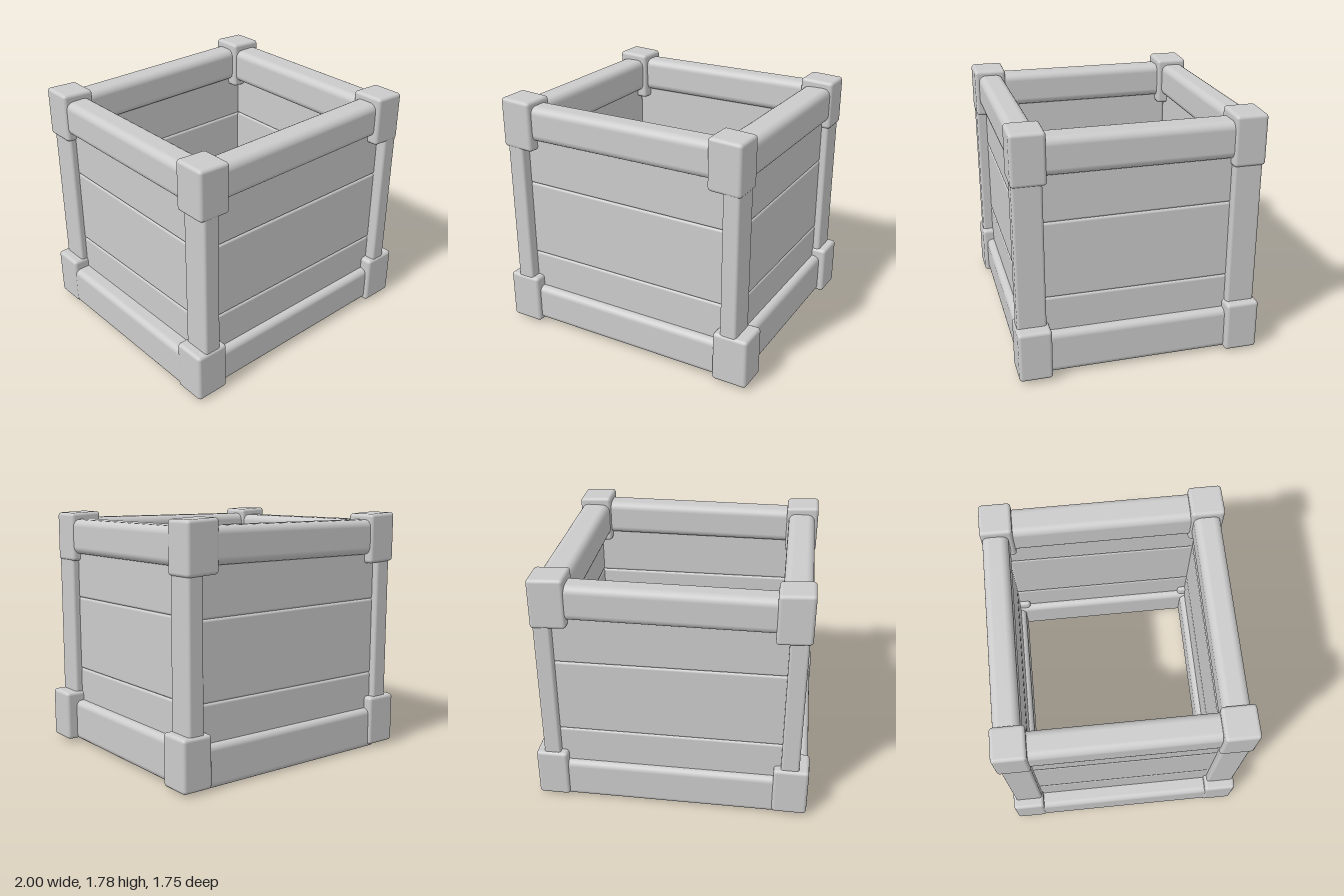
import * as THREE from 'three';
import { RoundedBoxGeometry } from 'three/addons/geometries/RoundedBoxGeometry.js';

const material = new THREE.MeshStandardMaterial({ color: 0xcccccc });

// Rounded box between two corners; warp(v) may bend its vertices a little
function roundedPart(name, [x0, y0, z0], [x1, y1, z1], radius, warp) {
  const g = new RoundedBoxGeometry(x1 - x0, y1 - y0, z1 - z0, 3, radius);
  g.translate((x0 + x1) / 2, (y0 + y1) / 2, (z0 + z1) / 2);
  if (warp) {
    const p = g.attributes.position;
    const v = new THREE.Vector3();
    for (let i = 0; i < p.count; i++) {
      v.fromBufferAttribute(p, i);
      warp(v);
      p.setXYZ(i, v.x, v.y, v.z);
    }
  }
  const mesh = new THREE.Mesh(g, material);
  mesh.name = name;
  return mesh;
}

export function createModel() {
  const crate = new THREE.Group();
  crate.name = 'crate';
  const add = (...args) => crate.add(roundedPart(...args));

  // Corner blocks: [x0, x1, z0, z1]
  const lower = [
    [-1.0, -0.75, 0.64, 0.875], [0.74, 1.0, 0.64, 0.875],
    [-1.0, -0.75, -0.875, -0.64], [0.74, 0.97, -0.875, -0.635],
  ];
  const upper = [
    [-0.96, -0.72, 0.63, 0.87], [0.68, 0.92, 0.63, 0.87],
    [-0.95, -0.71, -0.875, -0.64], [0.675, 0.925, -0.87, -0.64],
  ];
  lower.forEach(([x0, x1, z0, z1]) => add('lowerCornerBlock', [x0, 0.02, z0], [x1, 0.39, z1], 0.025,
    (v) => { v.y += 0.01 * (v.z < 0 ? -1 : 1) * (v.x > 0 ? 0.4 : -0.4); }));
  upper.forEach(([x0, x1, z0, z1]) => add('upperCornerBlock', [x0, 1.415, z0], [x1, 1.775, z1], 0.025,
    (v) => { v.y += 0.05 * (Math.abs(v.x) - 0.82) * (v.x < 0 ? 1 : -1); }));

  // Corner posts
  for (const [x0, x1] of [[-0.93, -0.8], [0.79, 0.912]]) {
    add('frontPost', [x0, 0.25, 0.66], [x1, 1.55, 0.865], 0.02);
    add('backPost', [x0, 0.25, -0.855], [x1, 1.55, -0.65], 0.02);
  }

  // Top rails
  add('topFrontRail', [-0.8, 1.48, 0.65], [0.78, 1.735, 0.84], 0.055);
  add('topBackRail', [-0.8, 1.475, -0.86], [0.78, 1.73, -0.675], 0.055);
  add('topRightRail', [-0.935, 1.47, -0.75], [-0.735, 1.725, 0.75], 0.055);
  add('topLeftRail', [0.69, 1.465, -0.75], [0.91, 1.725, 0.75], 0.055);

  // Bottom rails
  add('bottomFrontRail', [-0.85, 0.03, 0.66], [0.85, 0.305, 0.845], 0.045);
  add('bottomBackRail', [-0.85, 0.0, -0.855], [0.82, 0.305, -0.68], 0.045);
  add('bottomRightRail', [-0.995, 0.015, -0.75], [-0.77, 0.32, 0.75], 0.045);
  add('bottomLeftRail', [0.72, 0.015, -0.75], [0.922, 0.325, 0.75], 0.045);

  // Wall planks, three per side, with slightly uneven seams
  const rows = [[0.2, 0.575], [0.575, 1.135], [1.135, 1.6]];
  const wobble = (along) => (v) => {
    v.y += 0.006 * Math.sin(v[along] * 2 + v.y * 3);
  };
  for (const [y0, y1] of rows) {
    add('frontPlank', [-0.83, y0, 0.7], [0.82, y1, 0.79], 0.018, wobble('x'));
    add('backPlank', [-0.83, y0, -0.81], [0.82, y1, -0.72], 0.018, wobble('x'));
    add('rightPlank', [-0.88, y0, -0.72], [-0.79, y1, 0.72], 0.018, wobble('z'));
    add('leftPlank', [0.77, y0, -0.72], [0.86, y1, 0.72], 0.018, wobble('z'));
  }
  return crate;
}
